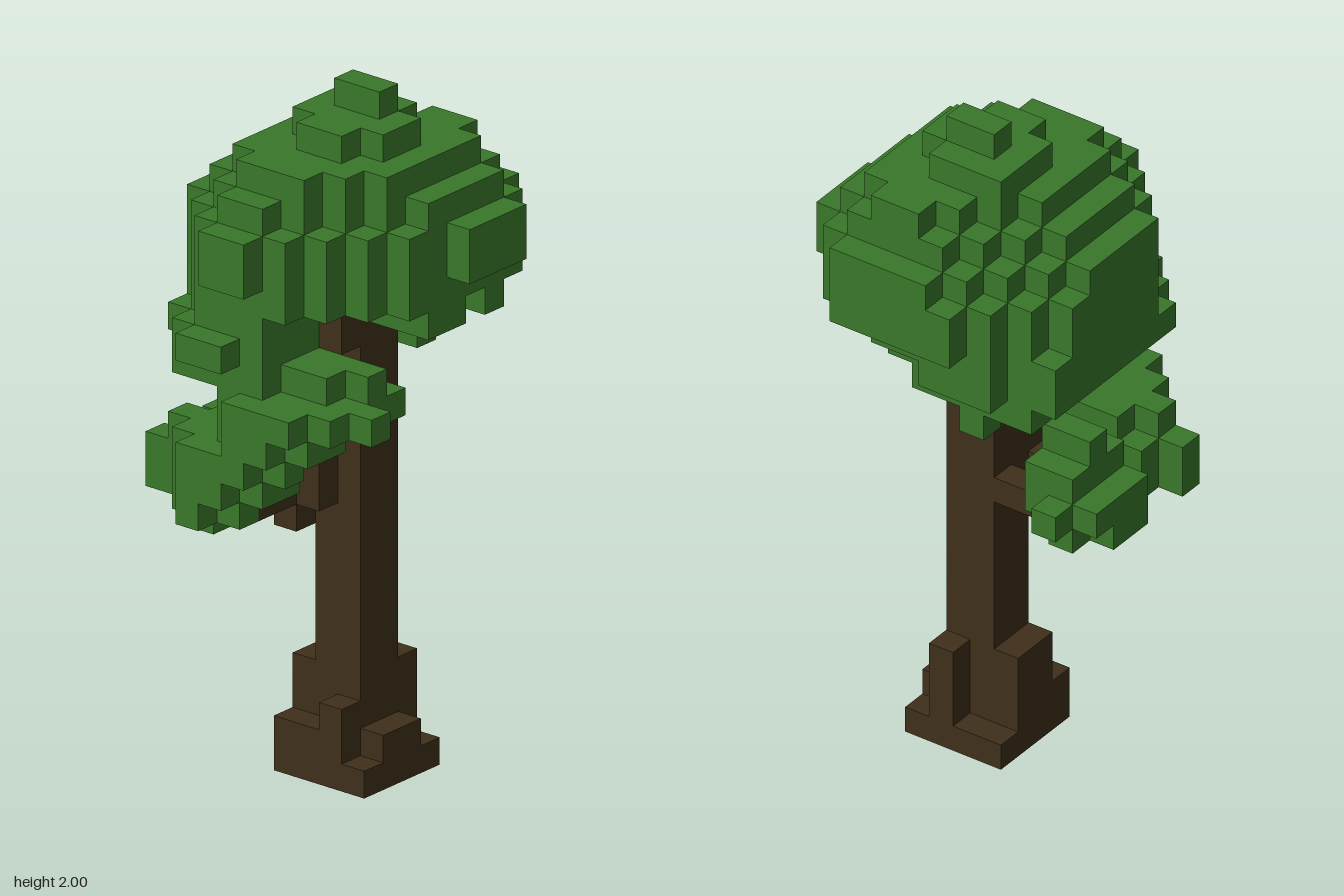
import * as THREE from 'three';

const S = 0.08; // edge of one cube
const N = 11;   // cubes across in x and z; grid cell 5,5 is the centre

// x range of the whole tree in each row from back to front
const PLAN = [
  [4, 8], [2, 9], [1, 10], [0, 10], [0, 10], [0, 9], [1, 9], [1, 8], [0, 9], [2, 8], [3, 7],
];

export function createModel() {
  const bark = new THREE.MeshStandardMaterial({ color: 0x40301b });
  bark.name = 'bark brown';
  const leaf = new THREE.MeshStandardMaterial({ color: 0x39782a });
  leaf.name = 'leaf green';

  const cells = new Map(); // "x,y,z" -> part name
  const key = (x, y, z) => `${x},${y},${z}`;
  const put = (part, x, y, z) => {
    const inside = x >= PLAN[z][0] && x <= PLAN[z][1];
    if (inside && !cells.has(key(x, y, z))) cells.set(key(x, y, z), part);
  };

  // solid block of cubes, inclusive ranges
  function block(part, x0, x1, y0, y1, z0, z1) {
    for (let x = x0; x <= x1; x++)
      for (let y = y0; y <= y1; y++)
        for (let z = z0; z <= z1; z++) put(part, x, y, z);
  }

  // rounded layer of cubes filling a rectangle
  function disc(part, y, x0, x1, z0, z1, skip = () => false) {
    const cx = (x0 + x1) / 2, cz = (z0 + z1) / 2;
    const rx = (x1 - x0 + 1) / 2, rz = (z1 - z0 + 1) / 2;
    for (let x = x0; x <= x1; x++)
      for (let z = z0; z <= z1; z++)
        if (((x - cx) / rx) ** 2 + ((z - cz) / rz) ** 2 <= 1.03 && !skip(x, z)) put(part, x, y, z);
  }

  // rectangle layer with its four corners cut off diagonally
  function octagon(part, y, x0, x1, z0, z1, sumMin, sumMax, diffMin, diffMax) {
    for (let x = x0; x <= x1; x++)
      for (let z = z0; z <= z1; z++)
        if (x + z >= sumMin && x + z <= sumMax && x - z >= diffMin && x - z <= diffMax) put(part, x, y, z);
  }

  // trunk and stepped roots
  block('trunk', 5, 6, 0, 16, 4, 5);
  block('roots', 4, 7, 0, 0, 3, 6);
  block('roots', 4, 5, 1, 1, 6, 6);
  block('roots', 6, 6, 1, 2, 6, 6);
  block('roots', 7, 7, 1, 1, 4, 5);
  block('roots', 6, 6, 1, 3, 3, 3);
  block('roots', 4, 4, 1, 3, 4, 5);

  // branches: upper front fork, lower front fork, side stub, crown forks
  block('branches', 5, 5, 11, 13, 6, 6);
  block('branches', 5, 5, 12, 12, 7, 8);
  block('branches', 4, 5, 10, 10, 6, 6);
  block('branches', 4, 4, 9, 9, 6, 6);
  block('branches', 4, 4, 10, 10, 7, 8);
  block('branches', 2, 4, 10, 10, 4, 4);
  block('branches', 6, 6, 16, 17, 6, 6);
  block('branches', 6, 6, 17, 17, 3, 3);
  block('branches', 5, 5, 15, 15, 3, 3);

  // crown underside, open around the forks, with ragged corners
  disc('crown', 16, 1, 7, 1, 9, (x, z) => x >= 6 && z >= 3);
  block('crown', 7, 7, 16, 16, 2, 2);
  block('crown', 1, 1, 16, 16, 8, 8);
  block('crown', 2, 2, 16, 16, 9, 9);
  block('crown', 3, 4, 16, 16, 10, 10);
  block('crown', 1, 1, 16, 17, 2, 2);
  disc('crown', 17, 1, 9, 1, 9, (x, z) => x >= 6 && (z === 3 || z >= 6));
  block('crown', 8, 9, 17, 17, 2, 2);

  // crown dome, leaning to the back left
  octagon('crown', 18, 1, 9, 0, 9, 4, 15, -6, 8);
  octagon('crown', 19, 1, 10, 0, 10, 4, 15, -6, 8);
  octagon('crown', 20, 1, 10, 0, 10, 5, 15, -6, 8);
  octagon('crown', 21, 2, 9, 1, 9, 6, 14, -5, 7);
  octagon('crown', 22, 3, 8, 1, 8, 7, 14, -4, 6);
  block('crown', 4, 6, 23, 23, 3, 3);
  block('crown', 4, 7, 23, 23, 4, 5);
  block('crown', 5, 6, 23, 23, 6, 6);
  block('crown', 5, 6, 24, 24, 4, 4);

  // leaves hanging under the back and front of the crown
  block('hangingLeaves', 2, 6, 15, 15, 2, 2);
  block('hangingLeaves', 2, 4, 15, 15, 3, 3);
  block('hangingLeaves', 4, 4, 14, 14, 2, 2);
  disc('hangingLeaves', 15, 2, 5, 7, 9);

  // front foliage, rising towards the left
  disc('frontFoliage', 10, 0, 4, 7, 10);
  disc('frontFoliage', 11, 0, 5, 7, 10);
  disc('frontFoliage', 12, 1, 6, 7, 10, (x, z) => x >= 6 && z < 9);
  disc('frontFoliage', 13, 4, 7, 7, 10);
  disc('frontFoliage', 14, 4, 9, 6, 10);
  block('frontFoliage', 5, 7, 15, 15, 8, 8);
  block('frontFoliage', 6, 8, 15, 15, 7, 7);
  block('frontFoliage', 2, 2, 9, 9, 8, 8);
  block('frontFoliage', 0, 0, 11, 11, 8, 8);
  block('frontFoliage', 3, 4, 11, 12, 10, 10);

  // small side foliage on the right
  block('sideFoliage', 0, 0, 10, 10, 4, 5);
  block('sideFoliage', 1, 1, 10, 10, 3, 5);
  block('sideFoliage', 0, 2, 11, 11, 3, 5);
  block('sideFoliage', 1, 1, 11, 11, 2, 2);
  block('sideFoliage', 1, 2, 12, 12, 3, 5);
  block('sideFoliage', 1, 2, 13, 13, 4, 4);

  // one mesh per part, made of the exposed cube faces only
  const parts = new Map();
  for (const [k, part] of cells) {
    if (!parts.has(part)) parts.set(part, { pos: [], nor: [] });
    const { pos, nor } = parts.get(part);
    const c = k.split(',').map(Number);
    for (let a = 0; a < 3; a++) {
      for (const s of [-1, 1]) {
        const n = [0, 0, 0];
        n[a] = s;
        if (cells.has(key(c[0] + n[0], c[1] + n[1], c[2] + n[2]))) continue;
        const u = (a + 1) % 3, v = (a + 2) % 3;
        const ring = [[-1, -1], [1, -1], [1, 1], [-1, 1]];
        if (s < 0) ring.reverse();
        for (const i of [0, 1, 2, 0, 2, 3]) {
          const p = [(c[0] - (N - 1) / 2) * S, (c[1] + 0.5) * S, (c[2] - (N - 1) / 2) * S];
          p[a] += s * S / 2;
          p[u] += ring[i][0] * S / 2;
          p[v] += ring[i][1] * S / 2;
          pos.push(...p);
          nor.push(...n);
        }
      }
    }
  }

  const tree = new THREE.Group();
  tree.name = 'tree';
  const wood = ['trunk', 'roots', 'branches'];
  for (const [name, { pos, nor }] of parts) {
    const g = new THREE.BufferGeometry();
    g.setAttribute('position', new THREE.Float32BufferAttribute(pos, 3));
    g.setAttribute('normal', new THREE.Float32BufferAttribute(nor, 3));
    const mesh = new THREE.Mesh(g, wood.includes(name) ? bark : leaf);
    mesh.name = name;
    tree.add(mesh);
  }
  return tree;
}
